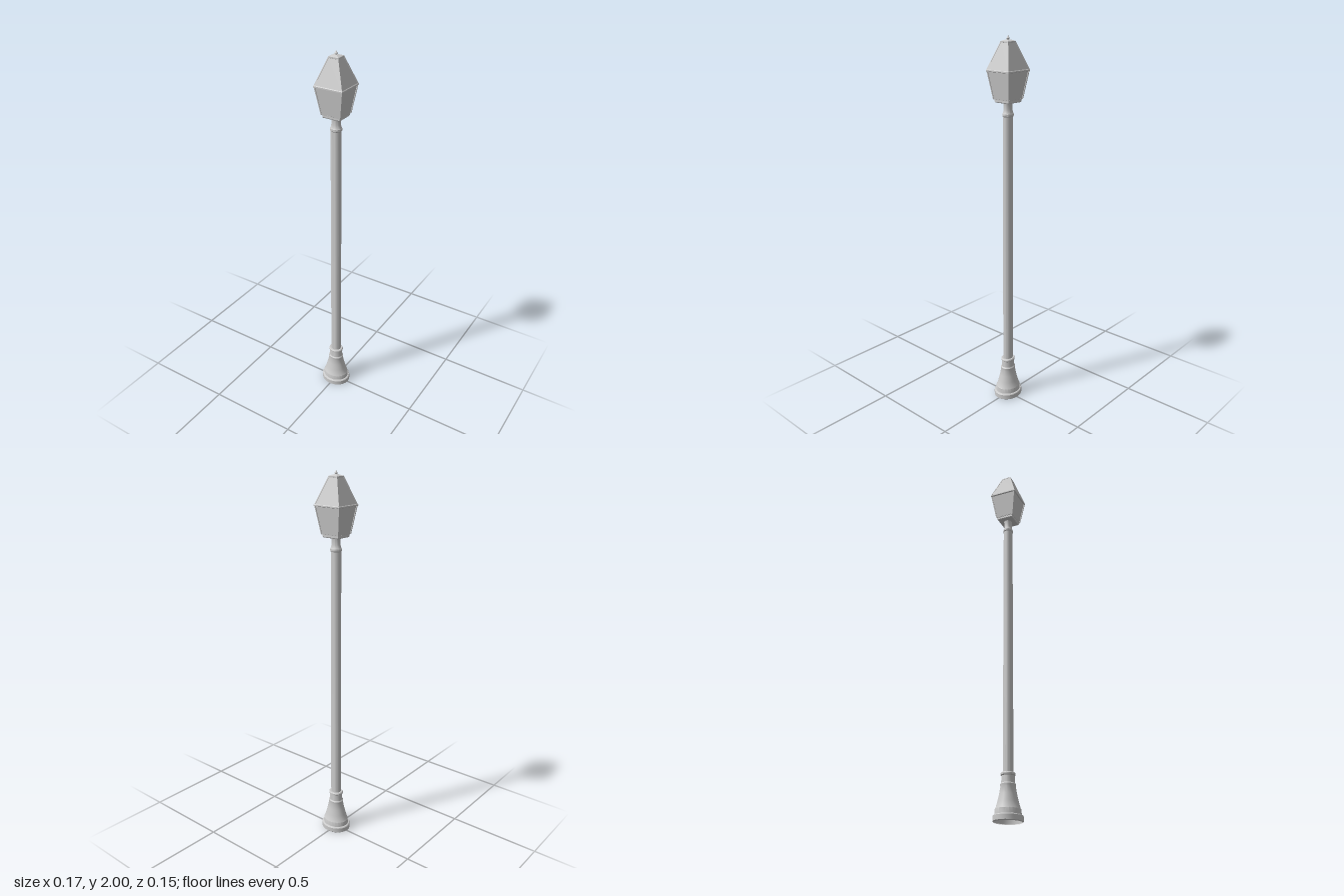
import * as THREE from 'three';
import { toCreasedNormals } from 'three/addons/utils/BufferGeometryUtils.js';

const material = new THREE.MeshStandardMaterial({ color: 0xcccccc, side: THREE.DoubleSide });
const ROUND_DEPTH = 0.87; // post is slightly flattened front to back
const LAMP_DEPTH = 0.925; // so is the lantern

export function createModel() {
  const model = new THREE.Group();

  function add(name, geometry, parent = model) {
    const mesh = new THREE.Mesh(geometry, material);
    mesh.name = name;
    parent.add(mesh);
    return mesh;
  }

  // Oval turned part from [radius, height] pairs, bottom to top
  function turned(name, profile, sides = 24) {
    const points = profile.map(([r, y]) => new THREE.Vector2(r, y));
    const geometry = new THREE.LatheGeometry(points, sides).scale(1, 1, ROUND_DEPTH);
    return add(name, toCreasedNormals(geometry, 0.5));
  }

  // Four-sided part from [half width, height] pairs, bottom to top
  function foursided(name, profile, parent) {
    const points = profile.map(([w, y]) => new THREE.Vector2(w * Math.SQRT2, y));
    const geometry = new THREE.LatheGeometry(points, 4, Math.PI / 4).scale(1, 1, LAMP_DEPTH);
    return add(name, toCreasedNormals(geometry, 0.02), parent);
  }

  // Square bar along each of the four corners, from [half width, height] to another
  function cornerBars(name, [w0, y0], [w1, y1], thickness, parent) {
    for (const sx of [-1, 1]) for (const sz of [-1, 1]) {
      const a = new THREE.Vector3(sx * w0, y0, sz * w0 * LAMP_DEPTH);
      const b = new THREE.Vector3(sx * w1, y1, sz * w1 * LAMP_DEPTH);
      const bar = add(name, new THREE.BoxGeometry(thickness, a.distanceTo(b), thickness), parent);
      bar.position.copy(a).add(b).multiplyScalar(0.5);
      bar.quaternion.setFromUnitVectors(new THREE.Vector3(0, 1, 0), b.sub(a).normalize());
    }
  }

  // Hollow stepped foot with a flared body and two ringed collars
  turned('base', [
    [0.078, 0], [0.083, 0.004], [0.083, 0.028], [0.08, 0.032], [0.073, 0.034],
    [0.071, 0.06], [0.067, 0.066], [0.058, 0.095], [0.049, 0.13], [0.042, 0.165],
    [0.043, 0.17], [0.043, 0.178], [0.038, 0.184], [0.036, 0.218],
    [0.041, 0.222], [0.041, 0.23], [0.037, 0.235], [0.028, 0.235],
  ]);

  // Long shaft
  turned('post', [[0.029, 0.2], [0.028, 1.612]]);

  // Rim at the top of the shaft and the neck that carries the lantern
  turned('neck', [
    [0.028, 1.605], [0.031, 1.609], [0.031, 1.619], [0.027, 1.625],
    [0.024, 1.64], [0.024, 1.668], [0.027, 1.682],
  ]);

  const lantern = new THREE.Group();
  lantern.name = 'lantern';
  model.add(lantern);

  // Tray under the lantern
  foursided('lanternTray', [
    [0, 1.676], [0.046, 1.676], [0.049, 1.68], [0.049, 1.69], [0.053, 1.694], [0, 1.694],
  ], lantern);

  // Glass body widening upward, with corner frames
  foursided('glassBody', [[0.052, 1.69], [0.074, 1.83]], lantern);
  cornerBars('cornerFrame', [0.052, 1.692], [0.075, 1.83], 0.006, lantern);

  // Eave and tapering roof with ribs on its hips
  foursided('eave', [[0.072, 1.826], [0.08, 1.829], [0.08, 1.835], [0.077, 1.838]], lantern);
  foursided('roof', [[0.077, 1.836], [0.026, 1.968]], lantern);
  cornerBars('roofRib', [0.0755, 1.837], [0.026, 1.967], 0.005, lantern);

  // Cap with a low pyramid
  foursided('cap', [
    [0.026, 1.962], [0.028, 1.964], [0.028, 1.971], [0.024, 1.973], [0.007, 1.979], [0, 1.979],
  ], lantern);

  // Pointed finial
  turned('finial', [
    [0.005, 1.976], [0.005, 1.979], [0.008, 1.982], [0.008, 1.986],
    [0.005, 1.99], [0.0025, 1.994], [0, 2],
  ], 12);

  return model;
}
